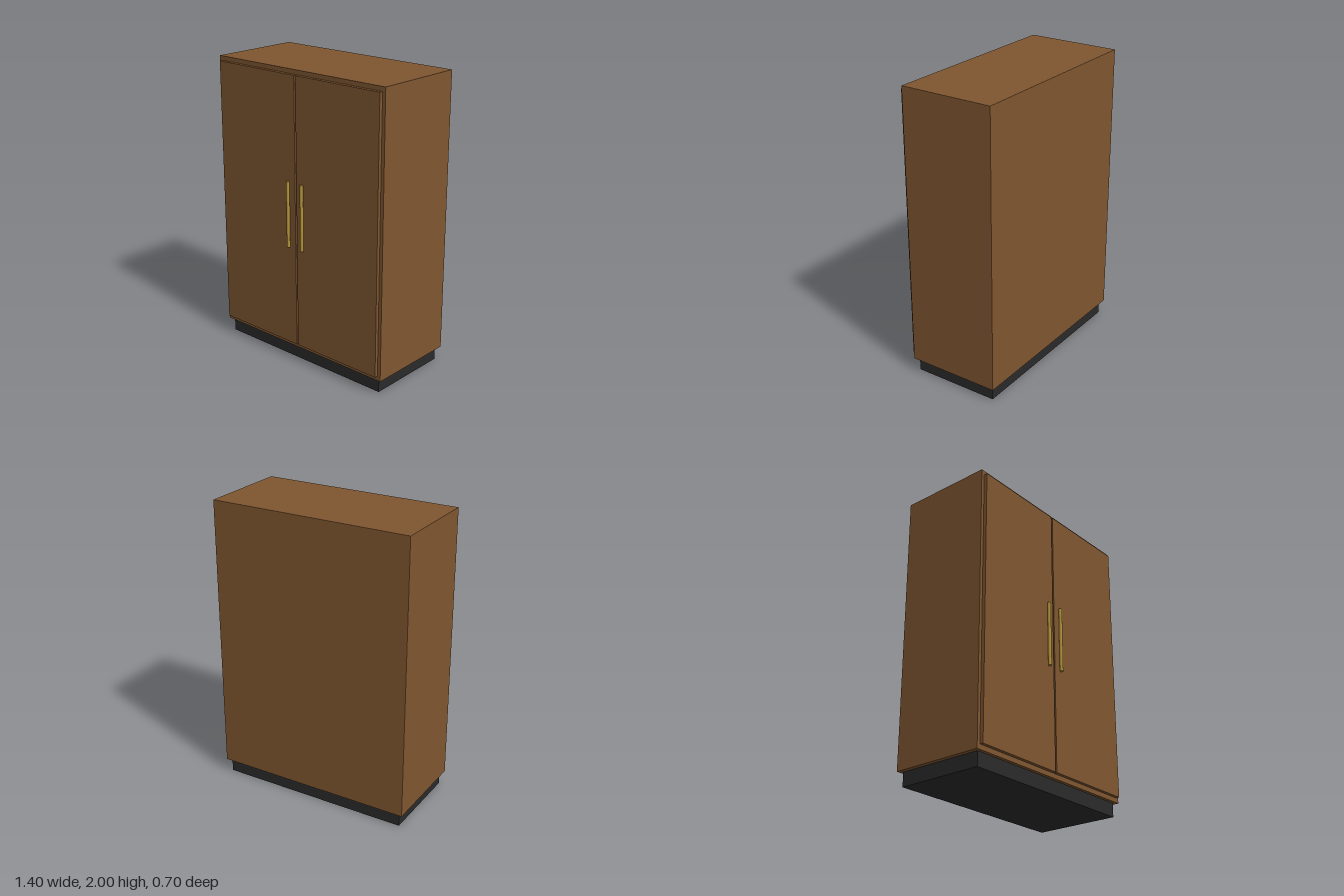
import * as THREE from 'three';

export function createModel() {
  const model = new THREE.Group();
  model.name = 'wardrobe';
  const wood = new THREE.MeshStandardMaterial({ color: 0x7f5630 });
  const plinth = new THREE.MeshStandardMaterial({ color: 0x2a2a2a });
  const brass = new THREE.MeshStandardMaterial({ color: 0xb5963a });

  // Box given by its lower and upper corners
  const addBox = (name, material, [x0, y0, z0], [x1, y1, z1]) => {
    const mesh = new THREE.Mesh(new THREE.BoxGeometry(x1 - x0, y1 - y0, z1 - z0), material);
    mesh.position.set((x0 + x1) / 2, (y0 + y1) / 2, (z0 + z1) / 2);
    mesh.name = name;
    model.add(mesh);
  };

  // Recessed base and cabinet body
  addBox('base', plinth, [-0.67, 0, -0.324], [0.67, 0.095, 0.277]);
  addBox('cabinet', wood, [-0.7, 0.095, -0.348], [0.7, 2, 0.301]);

  // Pair of doors with upright bar handles
  for (const [side, s] of [['left', 1], ['right', -1]]) {
    const inner = s * 0.006, outer = s * 0.677;
    addBox(side + 'Door', wood,
      [Math.min(inner, outer), 0.127, 0.301], [Math.max(inner, outer), 1.97, 0.325]);
    const handle = new THREE.Mesh(new THREE.CylinderGeometry(0.0115, 0.0115, 0.452, 12), brass);
    handle.position.set(s * 0.06, 1.05, 0.3365);
    handle.name = side + 'Handle';
    model.add(handle);
  }
  return model;
}
